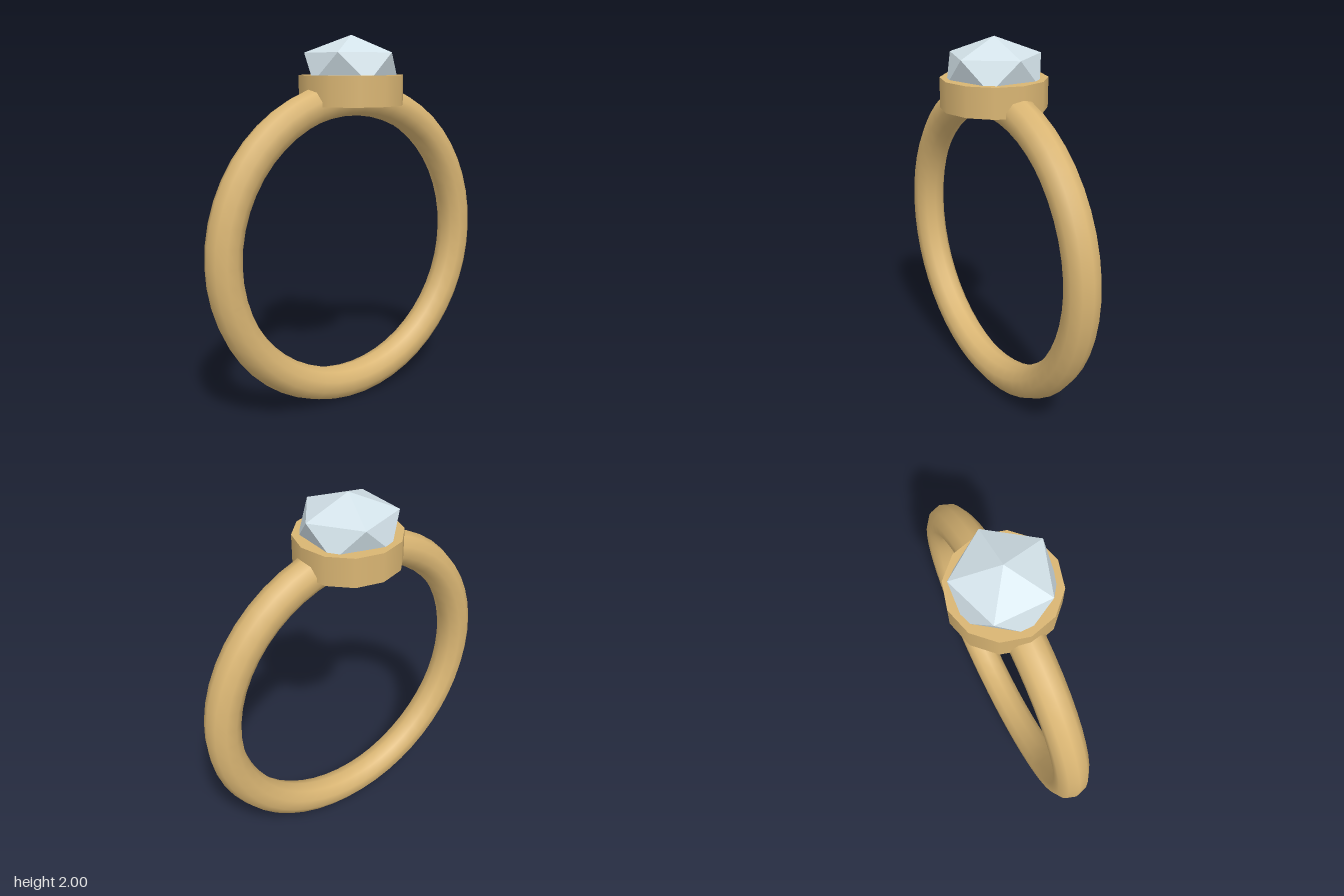
import * as THREE from 'three';

const gold = new THREE.MeshStandardMaterial({ color: 0xd9b573 });
const crystal = new THREE.MeshStandardMaterial({ color: 0xd3e2e9, flatShading: true });

function addPart(group, name, geometry, material, y) {
  const mesh = new THREE.Mesh(geometry, material);
  mesh.name = name;
  mesh.position.y = y;
  group.add(mesh);
}

export function createModel() {
  const group = new THREE.Group();
  group.name = 'ring';

  // Round band standing upright, ten-sided in section
  addPart(group, 'band', new THREE.TorusGeometry(0.791, 0.093, 10, 50), gold, 0.886);

  // Twelve-sided cup that holds the stone
  addPart(group, 'setting', new THREE.CylinderGeometry(0.277, 0.277, 0.155, 12), gold, 1.718);

  // Flattened icosahedron turned so one corner points straight up
  const stone = new THREE.IcosahedronGeometry(1, 0);
  stone.rotateZ(-Math.atan(2 / (1 + Math.sqrt(5))));
  stone.scale(0.275, 0.164, 0.275);
  addPart(group, 'stone', stone, crystal, 1.836);

  return group;
}
